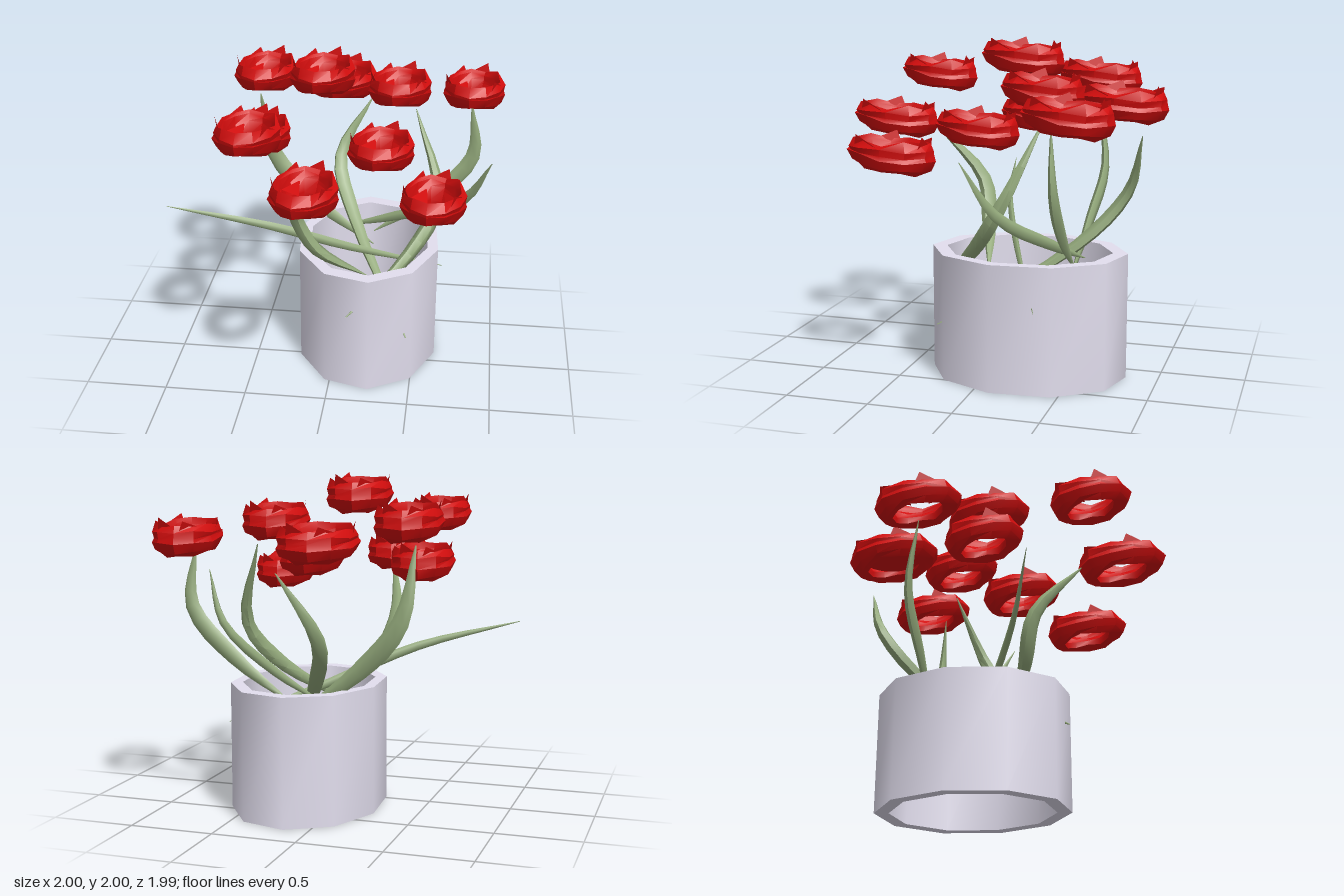
import * as THREE from 'three';
import { toCreasedNormals } from 'three/addons/utils/BufferGeometryUtils.js';

const V = (x, y, z) => new THREE.Vector3(x, y, z);
const paint = (color) => new THREE.MeshStandardMaterial({ color, side: THREE.DoubleSide });
const red = paint(0xd00c0c), green = paint(0x94aa7c), clay = paint(0xe2deee);

// Skin a list of closed cross-sections; loop joins the last one to the first
function loft(rings, loop, crease) {
  const n = rings[0].length, pos = [], idx = [];
  rings.forEach((r) => r.forEach((p) => pos.push(p.x, p.y, p.z)));
  const last = loop ? rings.length : rings.length - 1;
  for (let j = 0; j < last; j++) {
    const k = (j + 1) % rings.length;
    for (let i = 0; i < n; i++) {
      const m = (i + 1) % n;
      const a = j * n + i, b = j * n + m, c = k * n + i, d = k * n + m;
      idx.push(a, b, c, b, d, c);
    }
  }
  const g = new THREE.BufferGeometry();
  g.setAttribute('position', new THREE.Float32BufferAttribute(pos, 3));
  g.setIndex(idx);
  return toCreasedNormals(g, crease);
}

function seeded(seed) {
  let s = seed;
  return () => (s = (s * 16807) % 2147483647) / 2147483647;
}

function add(parent, name, geometry, material) {
  const mesh = new THREE.Mesh(geometry, material);
  mesh.name = name;
  parent.add(mesh);
  return mesh;
}

// Ten-sided oval sleeve, open at both ends
function makePot() {
  const rings = [];
  for (let j = 0; j < 10; j++) {
    const a = THREE.MathUtils.degToRad(84 + 36 * j);
    const at = (s, y) => V(0.195 + 0.452 * s * Math.cos(a), y, -0.22 + 0.593 * s * Math.sin(a));
    rings.push([at(0.85, 0), at(1, 0), at(1, 0.76), at(0.85, 0.76)]);
  }
  return loft(rings, true, 0.95);
}

// Folded ring of petals, from the hole out, up and back in: radius, height
const petalSection = [
  [0.58, -0.065], [0.74, -0.085], [0.9, -0.06], [1, -0.01], [0.94, 0.005],
  [0.96, 0.035], [0.84, 0.075], [0.78, 0.045], [0.72, 0.015], [0.58, -0.025],
];

function makeBloom(rx, rz, closed) {
  const rnd = seeded(4211), bloom = new THREE.Group(), sides = 11, rings = [];
  for (let j = 0; j < sides; j++) {
    const a = (j / sides) * Math.PI * 2;
    rings.push(petalSection.map(([r, y]) => {
      const s = r + (r < 1 ? (rnd() - 0.5) * 0.07 : 0);
      const sag = y < 0 ? 0.025 * Math.sin(a) : 0;
      return V(rx * s * Math.cos(a), y + sag + (rnd() - 0.5) * (y > 0.07 ? 0.05 : 0.025), rz * s * Math.sin(a));
    }));
  }
  add(bloom, 'petalRing', loft(rings, true, 0.6), red);

  // Pointed petal tips on the rim: angle, height
  const pos = [];
  const point = (a, s, y) => pos.push(rx * s * Math.cos(a), y, rz * s * Math.sin(a));
  for (const [a, tip] of [[0.5, 0.11], [2.7, 0.11], [4, 0.1], [4.9, 0.12]]) {
    point(a - 0.42, 0.88, 0.045); point(a + 0.42, 0.88, 0.045); point(a + 0.3, 0.9, tip);
  }
  // Folds reaching into the middle: angle, radius
  for (const [a, s] of [[2.2, 0.3], [3.9, 0.22], [0.4, 0.42], [5.6, 0.45]]) {
    point(a - 0.48, 0.68, 0); point(a + 0.48, 0.68, 0.01); point(a, s, -0.03);
  }
  const g = new THREE.BufferGeometry();
  g.setAttribute('position', new THREE.Float32BufferAttribute(pos, 3));
  g.computeVertexNormals();
  add(bloom, 'petalTips', g, red);

  // Cupped floor for the fuller bloom
  if (closed) {
    const floor = new THREE.ConeGeometry(1, 0.05, sides, 1, true);
    floor.rotateX(Math.PI);
    floor.scale(rx * 0.72, 1, rz * 0.72);
    add(bloom, 'bloomFloor', floor, red).position.y = -0.045;
  }
  return bloom;
}

// Tapering blade, wide in the plane it bends in and thin across it
function makeBlade(points, wide, thin) {
  const curve = new THREE.CatmullRomCurve3(points.map((p) => V(...p)));
  const first = points[0], end = points[points.length - 1];
  const across = V(end[2] - first[2], 0, first[0] - end[0]).normalize();
  const rings = [], steps = 12;
  for (let j = 0; j <= steps; j++) {
    const t = j / steps, c = curve.getPoint(t), tangent = curve.getTangent(t);
    const b = across.clone().addScaledVector(tangent, -across.dot(tangent)).normalize();
    const n = b.clone().cross(tangent);
    const f = Math.sin(Math.PI * (0.02 + 0.96 * t));
    rings.push(Array.from({ length: 6 }, (_, i) => {
      const a = (i / 6) * Math.PI * 2;
      return c.clone().addScaledVector(n, wide * f * Math.cos(a)).addScaledVector(b, thin * f * Math.sin(a));
    }));
  }
  return loft(rings, false, 1);
}

export function createModel() {
  const model = new THREE.Group();
  model.name = 'pottedFlowers';
  add(model, 'pot', makePot(), clay);

  // Blooms: x, y, z, half width, half depth
  const blooms = [
    [-0.495, 1.74, -0.49, 0.195, 0.27],
    [-0.47, 1.49, -0.09, 0.19, 0.24],
    [-0.04, 1.63, -0.715, 0.23, 0.285],
    [-0.085, 1.88, -0.1, 0.195, 0.26],
    [0.355, 1.73, -0.335, 0.195, 0.245],
    [0.28, 1.49, 0.075, 0.2, 0.255],
    [0.805, 1.64, -0.59, 0.195, 0.26],
    [0.61, 1.37, 0.485, 0.19, 0.265],
    [-0.42, 1.75, 0.55, 0.19, 0.25],
    [-0.085, 1.49, 0.725, 0.195, 0.275],
  ];
  for (const [x, y, z, rx, rz] of blooms) {
    const bloom = makeBloom(rx, rz, rx > 0.2);
    bloom.name = 'bloom';
    bloom.position.set(x, y, z);
    bloom.rotation.x = -0.05;
    model.add(bloom);
  }

  // Stems, each a curve from inside the pot up to its tip
  const stem = (wide, thin, ...path) => add(model, 'stem', makeBlade(path, wide, thin), green);
  stem(0.045, 0.05, [0.2, 0.62, 0.03], [-0.1, 0.83, 0.12], [-0.22, 1.1, 0.19], [-0.13, 1.45, 0.48]);
  stem(0.05, 0.045, [0.11, 0.51, 0.37], [0.46, 0.79, 0.05], [0.62, 1.08, -0.16], [0.46, 1.58, -0.38]);
  stem(0.058, 0.028, [0.2, 0.58, -0.47], [-0.2, 0.87, -0.5], [-0.46, 1.17, -0.54], [-0.53, 1.6, -0.48]);
  stem(0.052, 0.028, [0.2, 0.66, -0.5], [0.56, 0.92, -0.51], [0.82, 1.22, -0.52], [0.8, 1.58, -0.5]);
  stem(0.04, 0.05, [0.47, 0.33, 0.27], [0.07, 0.77, -0.48], [-0.05, 1.08, -0.76], [0.15, 1.46, -0.88]);

  // Narrow leaves arching over the rim
  const leaf = (wide, ...path) => add(model, 'leaf', makeBlade(path, wide, wide * 0.65), green);
  leaf(0.03, [0.66, 0.5, -0.37], [0.1, 0.73, -0.12], [-0.4, 0.95, 0.07], [-1, 1.11, 0.2]);
  leaf(0.036, [0, 0.68, -0.52], [0.35, 0.83, -0.4], [0.78, 1.08, -0.18], [0.935, 1.39, -0.03]);
  return model;
}
